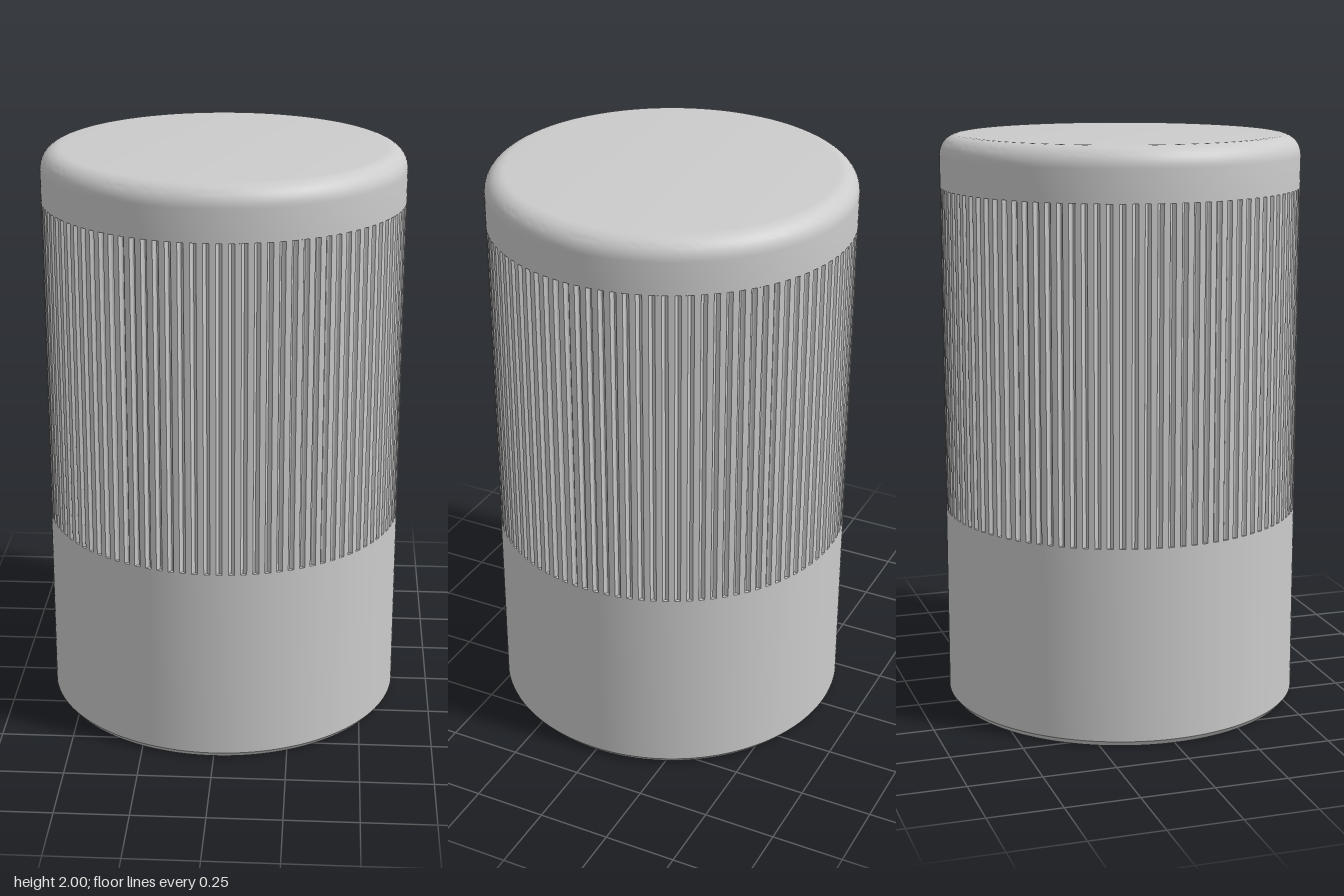
import * as THREE from 'three';
import { toCreasedNormals } from 'three/addons/utils/BufferGeometryUtils.js';

const R = 0.622;            // outer radius
const LOW = 0.69, HIGH = 1.82; // ends of the grooved grip
const GROOVES = 96, STEPS = 8, DEPTH = 0.013;

const material = new THREE.MeshStandardMaterial({ color: 0xcccccc });

function addMesh(group, name, geometry) {
  const mesh = new THREE.Mesh(toCreasedNormals(geometry, 0.5), material);
  mesh.name = name;
  group.add(mesh);
}

function turned(points) {
  return new THREE.LatheGeometry(points.map(([x, y]) => new THREE.Vector2(x, y)), 192);
}

export function createModel() {
  const group = new THREE.Group();
  group.name = 'knob';

  // Plain lower body with chamfered foot and stepped blind hole underneath
  addMesh(group, 'lowerBody', turned([
    [0, 1], [0.1, 1], [0.1, 0.075], [0.155, 0.075], [0.155, 0],
    [R - 0.016, 0], [R, 0.02], [R, LOW], [R - 0.02, LOW],
  ]));

  // Grip band: rounded vertical grooves pressed into an open cylinder
  const profile = [0, 0, 0, 0, 0, 0.75, 1, 0.75];
  const columns = GROOVES * STEPS;
  const band = new THREE.CylinderGeometry(R, R, HIGH - LOW, columns, 1, true);
  const pos = band.attributes.position;
  for (let i = 0; i < pos.count; i++) {
    const column = i % (columns + 1);
    // offset by two steps so that a rib is centred on the front
    const scale = (R - DEPTH * profile[(column + 2) % STEPS]) / R;
    pos.setX(i, pos.getX(i) * scale);
    pos.setZ(i, pos.getZ(i) * scale);
  }
  band.translate(0, (LOW + HIGH) / 2, 0);
  addMesh(group, 'groovedGrip', band);

  // Smooth cap with rounded rim
  const fillet = 0.07;
  const cap = [[R - 0.02, HIGH], [R, HIGH]];
  for (let i = 0; i <= 10; i++) {
    const a = (i / 10) * Math.PI / 2;
    cap.push([R - fillet + fillet * Math.cos(a), 2 - fillet + fillet * Math.sin(a)]);
  }
  cap.push([0, 2]);
  addMesh(group, 'roundedCap', turned(cap));

  return group;
}
